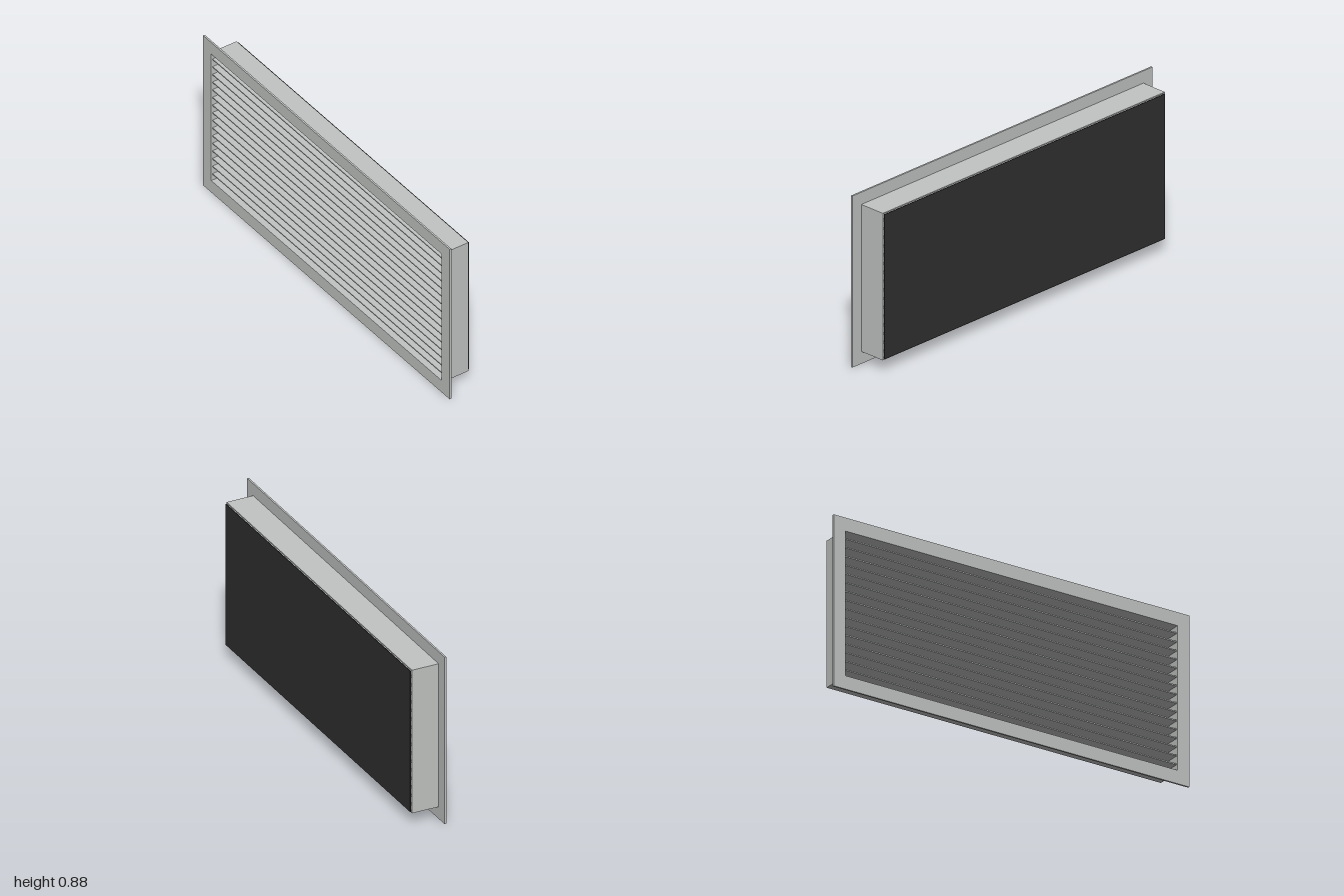
import * as THREE from 'three';

const metal = new THREE.MeshStandardMaterial({ color: 0xc1c4c2 });
metal.name = 'light grey metal';
const dark = new THREE.MeshStandardMaterial({ color: 0x303030 });
dark.name = 'dark backing';

// Opening shared by the flange, the duct and the backing
const OPEN_W = 1.868, OPEN_H = 0.744, MID_Y = 0.441;

// Rectangular ring with the shared opening, extruded from z0 to z1
function ring(name, width, height, z0, z1) {
  const rect = (Type, w, h) => new Type([
    new THREE.Vector2(-w / 2, -h / 2), new THREE.Vector2(w / 2, -h / 2),
    new THREE.Vector2(w / 2, h / 2), new THREE.Vector2(-w / 2, h / 2),
  ]);
  const shape = rect(THREE.Shape, width, height);
  shape.holes.push(rect(THREE.Path, OPEN_W, OPEN_H));
  const geometry = new THREE.ExtrudeGeometry(shape, { depth: z1 - z0, bevelEnabled: false });
  const mesh = new THREE.Mesh(geometry, metal);
  mesh.position.set(0, MID_Y, z0);
  mesh.name = name;
  return mesh;
}

function box(name, material, w, h, z0, z1, y) {
  const mesh = new THREE.Mesh(new THREE.BoxGeometry(w, h, z1 - z0), material);
  mesh.position.set(0, y, (z0 + z1) / 2);
  mesh.name = name;
  return mesh;
}

export function createModel() {
  const model = new THREE.Group();
  model.name = 'ventGrille';

  // Front flange and the thin-walled duct behind it
  model.add(ring('flange', 2, 0.882, 0.069, 0.078));
  model.add(ring('duct', 1.88, 0.756, -0.071, 0.069));

  // Horizontal louvre blades
  const louvres = new THREE.Group();
  louvres.name = 'louvres';
  const count = 16, pitch = 0.045;
  for (let i = 0; i < count; i++) {
    const y = MID_Y + (i - (count - 1) / 2) * pitch;
    louvres.add(box('louvreBlade', metal, OPEN_W, 0.006, -0.071, 0.07, y));
  }
  model.add(louvres);

  // Dark sheet just behind the duct
  model.add(box('backPanel', dark, OPEN_W, OPEN_H, -0.078, -0.074, MID_Y));
  return model;
}
